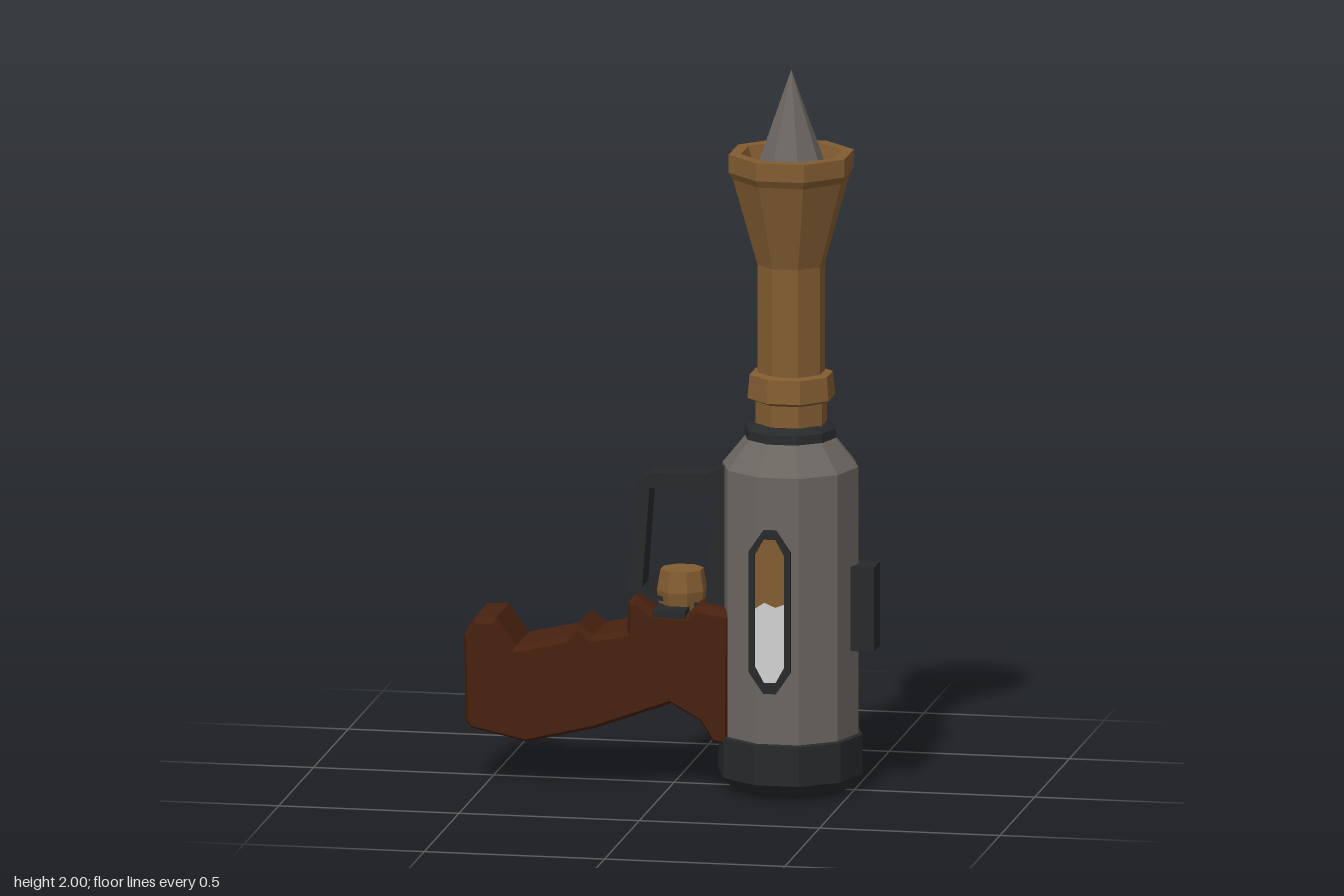
import * as THREE from 'three';

const mat = (name, color) => {
  const m = new THREE.MeshStandardMaterial({ color });
  m.name = name;
  return m;
};

export function createModel() {
  const steel = mat('steel grey', 0x6c6661);
  const brass = mat('aged brass', 0x835c31);
  const wood = mat('dark wood', 0x47210f);
  const iron = mat('black iron', 0x27292b);
  const pale = mat('pale glass', 0xd2d2d2);

  const model = new THREE.Group();
  model.name = 'canister pistol';
  const AXIS = 0.323;

  // Adds a mesh with hard facets
  const add = (name, geometry, material, parent = model) => {
    const g = geometry.index ? geometry.toNonIndexed() : geometry;
    g.computeVertexNormals();
    const mesh = new THREE.Mesh(g, material);
    mesh.name = name;
    parent.add(mesh);
    return mesh;
  };
  const vectors = (pts) => pts.map(([x, y]) => new THREE.Vector2(x, y));

  // Faceted turned part about the canister axis, with flats facing front and back
  const turned = (name, pts, sides, material, x = AXIS, zScale = 1.04) => {
    const g = new THREE.LatheGeometry(vectors(pts), sides, Math.PI / sides);
    g.scale(1, 1, zScale).translate(x, 0, 0);
    return add(name, g, material);
  };

  // Side profile extruded between z0 and z1
  const slab = (name, pts, z0, z1, material, { bevel = 0, bevelZ = 0, hole = null, parent = model } = {}) => {
    const shape = new THREE.Shape(vectors(pts));
    if (hole) shape.holes.push(new THREE.Path(vectors(hole)));
    const g = new THREE.ExtrudeGeometry(shape, {
      depth: z1 - z0 - 2 * bevelZ, bevelEnabled: bevel > 0, bevelSegments: 1,
      bevelSize: bevel, bevelOffset: -bevel, bevelThickness: bevelZ,
    });
    g.translate(0, 0, z0 + bevelZ);
    return add(name, g, material, parent);
  };

  // Canister
  turned('canister', [[0, 0.1], [0.188, 0.1], [0.188, 0.9], [0.115, 0.99], [0, 0.99]], 10, steel);
  turned('baseCap', [[0, 0], [0.165, 0.005], [0.2, 0.045], [0.2, 0.155], [0.18, 0.16], [0, 0.16]], 10, iron);
  turned('collar', [[0, 0.975], [0.128, 0.98], [0.125, 1.005], [0.1, 1.02], [0, 1.02]], 10, iron);

  // Barrel with flared, hollow muzzle
  turned('barrel', [
    [0, 1.0], [0.1, 1.0], [0.1, 1.08], [0.122, 1.09], [0.116, 1.155], [0.094, 1.16], [0.094, 1.46],
    [0.162, 1.70], [0.174, 1.72], [0.174, 1.77], [0.14, 1.77], [0.105, 1.66], [0, 1.66],
  ], 8, brass, 0.325, 1);
  turned('spike', [[0, 1.64], [0.11, 1.66], [0.107, 1.70], [0, 2.0]], 8, steel, 0.325, 1);

  // Level windows on front and back
  const lozenge = (w, y0, y1, tip, taper) => [
    [-w * taper, y0], [w * taper, y0], [w, y0 + tip], [w, y1 - tip], [w * taper, y1], [-w * taper, y1], [-w, y1 - tip], [-w, y0 + tip],
  ];
  for (const side of [0, 1]) {
    const win = new THREE.Group();
    win.name = side ? 'backWindow' : 'frontWindow';
    win.position.x = 0.302;
    win.rotation.y = side * Math.PI;
    slab('windowFrame', lozenge(0.058, 0.3, 0.755, 0.06, 0.3), 0.16, 0.196, iron,
      { hole: lozenge(0.041, 0.33, 0.73, 0.045, 0.4), parent: win });
    slab('lowerPane', [[-0.018, 0.33], [0.018, 0.33], [0.042, 0.375], [0.042, 0.55], [0.015, 0.54], [-0.015, 0.553], [-0.042, 0.535], [-0.042, 0.375]],
      0.183, 0.191, pale, { parent: win });
    slab('upperPane', [[-0.042, 0.535], [-0.015, 0.553], [0.015, 0.54], [0.042, 0.55], [0.042, 0.69], [0.018, 0.733], [-0.018, 0.733], [-0.042, 0.69]],
      0.183, 0.191, brass, { parent: win });
    model.add(win);
  }

  // Block on the outer side of the canister
  add('sideBlock', new THREE.BoxGeometry(0.08, 0.235, 0.086).translate(0.523, 0.513, 0), iron);

  // Grip
  slab('grip', [
    [-0.56, 0.17], [-0.545, 0.15], [-0.39, 0.117], [-0.2, 0.163], [0.01, 0.24], [0.09, 0.195], [0.125, 0.14], [0.175, 0.13],
    [0.18, 0.5], [0.08, 0.517], [0.055, 0.49], [-0.035, 0.495], [-0.085, 0.535], [-0.108, 0.52], [-0.112, 0.44],
    [-0.205, 0.42], [-0.245, 0.453], [-0.28, 0.415], [-0.42, 0.383], [-0.475, 0.46], [-0.535, 0.458], [-0.565, 0.41],
  ], -0.122, 0.122, wood, { bevel: 0.012, bevelZ: 0.03 });

  // Guard loop joining grip and canister
  slab('guard', [
    [-0.118, 0.54], [-0.08, 0.52], [0.17, 0.49], [0.17, 0.91], [0.1, 0.872], [-0.06, 0.867], [-0.098, 0.842],
  ], -0.043, 0.043, iron, {
    hole: [[-0.08, 0.55], [-0.06, 0.828], [0.115, 0.808], [0.095, 0.51], [0.06, 0.5], [-0.04, 0.505]],
  });

  // Thumb button on its plate
  add('buttonPlate', new THREE.BoxGeometry(0.09, 0.03, 0.236).translate(0.008, 0.488, 0), iron);
  const button = new THREE.LatheGeometry(vectors([[0, 0.49], [0.062, 0.49], [0.07, 0.54], [0.06, 0.598], [0, 0.598]]), 8, Math.PI / 8);
  add('button', button.translate(0.022, 0, 0), brass);

  return model;
}
